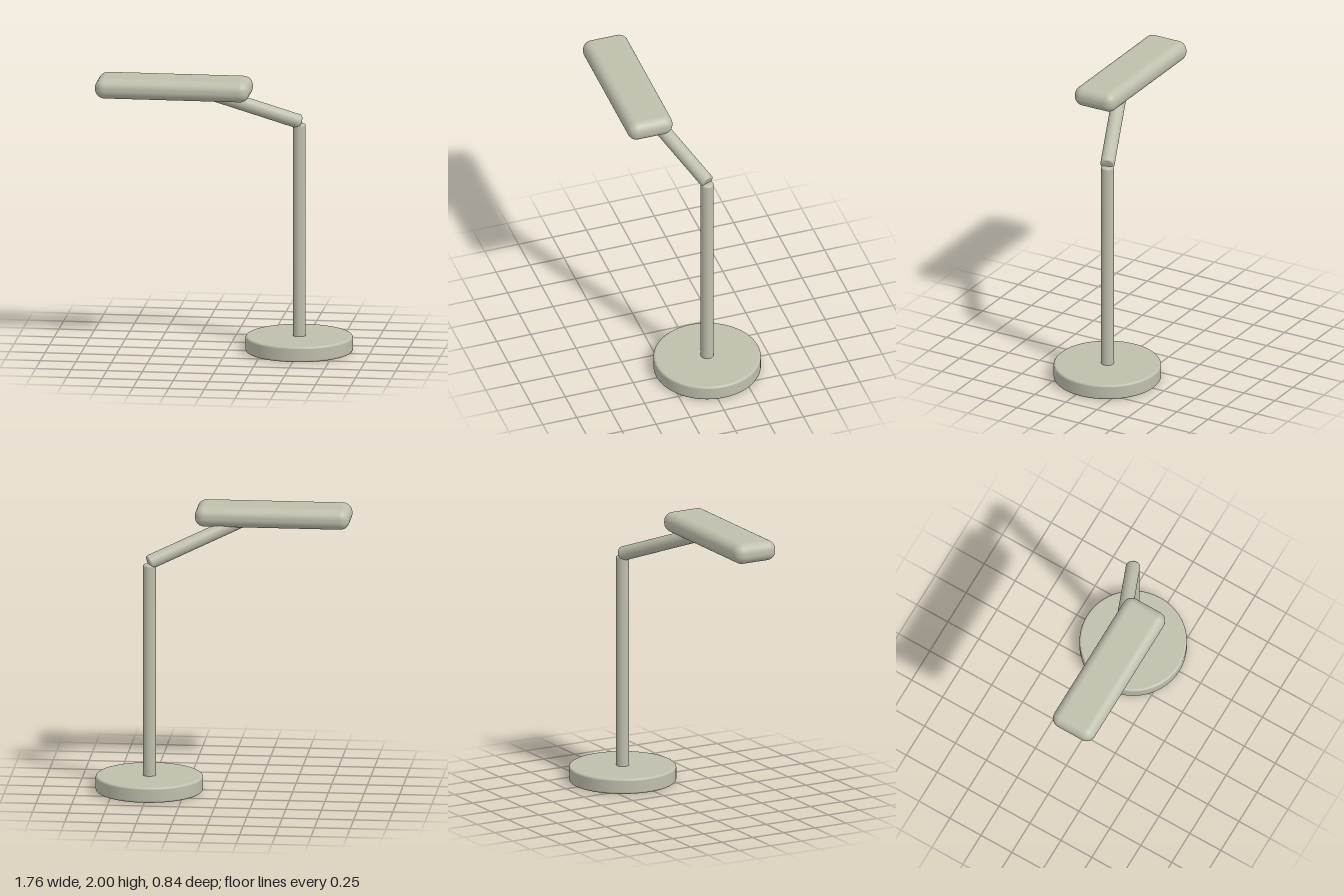
import * as THREE from 'three';
import { RoundedBoxGeometry } from 'three/addons/geometries/RoundedBoxGeometry.js';

// Solid cylinder standing on y = 0 with softly rounded rims
function roundedCylinder(radius, height, bevel, segments) {
  const points = [new THREE.Vector2(0, 0)];
  const steps = 5;
  for (const top of [false, true]) {
    for (let i = 0; i <= steps; i++) {
      const a = (i / steps - (top ? 0 : 1)) * Math.PI / 2;
      const cy = top ? height - bevel : bevel;
      points.push(new THREE.Vector2(radius - bevel + bevel * Math.cos(a), cy + bevel * Math.sin(a)));
    }
  }
  points.push(new THREE.Vector2(0, height));
  return new THREE.LatheGeometry(points, segments);
}

export function createModel() {
  const lamp = new THREE.Group();
  lamp.name = 'deskLamp';

  const paint = new THREE.MeshStandardMaterial({ color: 0xbfbfad });
  paint.name = 'warm grey paint';

  const add = (name, geometry, x, y, z) => {
    const mesh = new THREE.Mesh(geometry, paint);
    mesh.name = name;
    mesh.position.set(x, y, z);
    lamp.add(mesh);
    return mesh;
  };

  // Weighted round foot and upright pole
  add('base', roundedCylinder(0.375, 0.11, 0.016, 96), 0.5, 0, -0.045);
  add('pole', roundedCylinder(0.045, 1.555, 0.014, 40), 0.5, 0.07, -0.045);

  // Slanted arm from the top of the pole up into the lamp head
  const start = new THREE.Vector3(0.505, 1.637, -0.047);
  const end = new THREE.Vector3(-0.2, 1.925, 0.241);
  const along = end.clone().sub(start);
  const arm = add('arm', roundedCylinder(0.05, along.length(), 0.014, 40), start.x, start.y, start.z);
  arm.quaternion.setFromUnitVectors(new THREE.Vector3(0, 1, 0), along.normalize());

  // Long soft-edged lamp head
  add('lampHead', new RoundedBoxGeometry(1.084, 0.143, 0.327, 8, 0.066), -0.342, 1.9285, 0.254);

  return lamp;
}
